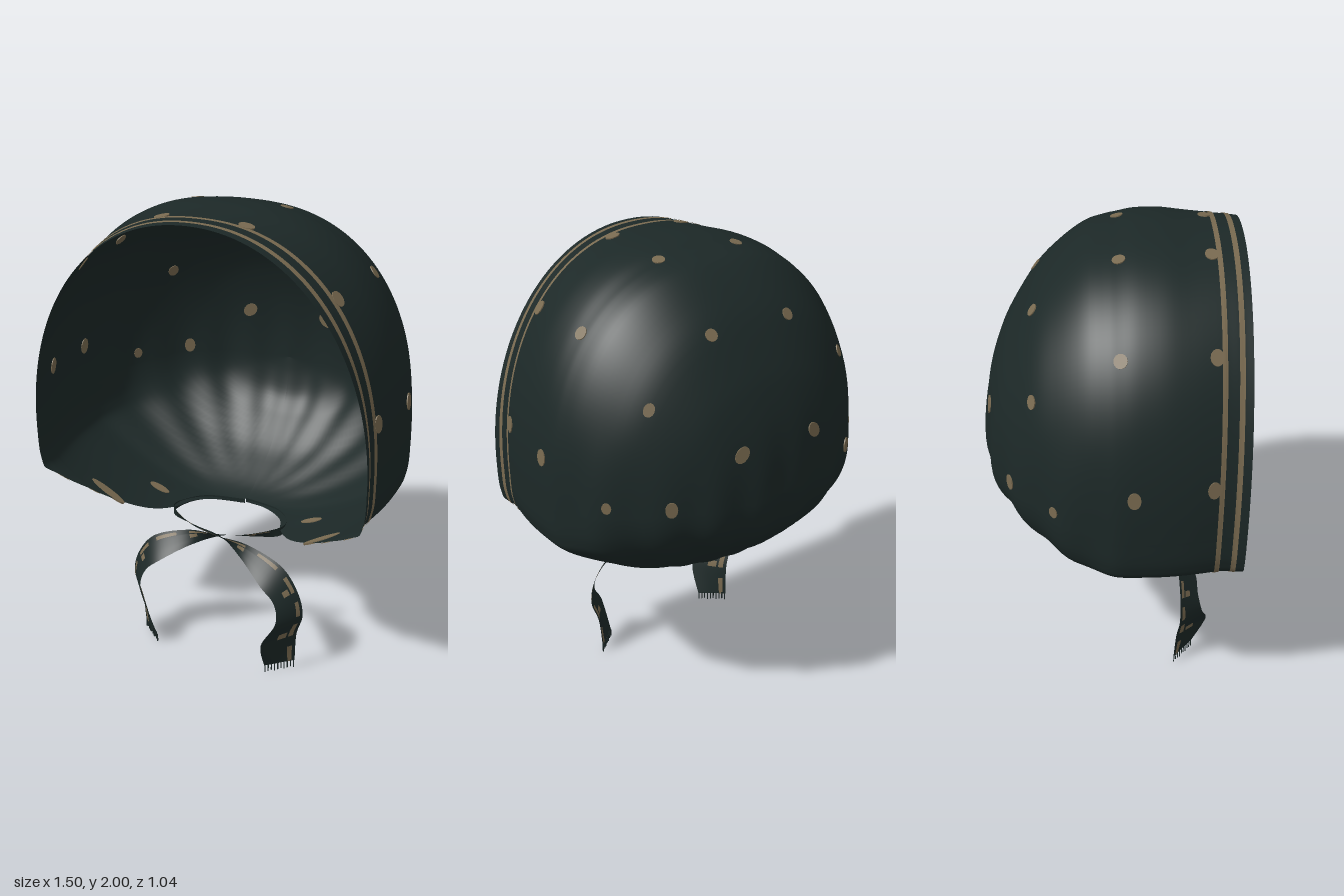
import * as THREE from 'three';

const cloth = new THREE.MeshStandardMaterial({ color: 0x1c2827, side: THREE.DoubleSide });
cloth.name = 'dark teal cloth';
const tan = new THREE.MeshStandardMaterial({ color: 0x796a50, side: THREE.DoubleSide });
tan.name = 'tan print';

// Smooth interpolation through rows of numbers, t in row units
function spline(rows, t) {
  const n = rows.length - 1;
  const i = Math.min(n - 1, Math.max(0, Math.floor(t)));
  const f = t - i;
  const at = (k) => rows[Math.min(n, Math.max(0, k))];
  return rows[0].map((_, c) => {
    const p0 = at(i - 1)[c], p1 = at(i)[c], p2 = at(i + 1)[c], p3 = at(i + 2)[c];
    return 0.5 * (2 * p1 + (p2 - p0) * f + (2 * p0 - 5 * p1 + 4 * p2 - p3) * f * f
      + (3 * p1 - p0 - 3 * p2 + p3) * f * f * f);
  });
}

// Hood sections from the front rim to the back:
// z, top, half width, bottom, widest height, open fraction, roundness of the arch
const SECTIONS = [
  [0.515, 1.99, 0.725, 0.59, 1.05, 0.97, 2.1],
  [0.483, 1.99, 0.719, 0.59, 1.05, 0.92, 2.15],
  [0.462, 1.99, 0.716, 0.59, 1.05, 0.86, 2.2],
  [0.418, 1.99, 0.718, 0.59, 1.05, 0.76, 2.25],
  [0.398, 1.99, 0.722, 0.59, 1.05, 0.7, 2.28],
  [0.3, 1.993, 0.74, 0.59, 1.05, 0.46, 2.35],
  [0.2, 2.0, 0.75, 0.588, 1.05, 0.34, 2.4],
  [0.1, 1.995, 0.752, 0.588, 1.05, 0.28, 2.42],
  [0.03, 1.98, 0.748, 0.588, 1.05, 0.17, 2.42],
  [-0.02, 1.97, 0.738, 0.595, 1.05, 0, 2.42],
  [-0.1, 1.945, 0.712, 0.62, 1.06, 0, 2.4],
  [-0.2, 1.875, 0.66, 0.67, 1.07, 0, 2.36],
  [-0.3, 1.775, 0.582, 0.73, 1.09, 0, 2.34],
  [-0.4, 1.62, 0.46, 0.82, 1.1, 0, 2.3],
  [-0.45, 1.515, 0.375, 0.87, 1.1, 0, 2.25],
  [-0.49, 1.39, 0.265, 0.93, 1.1, 0, 2.2],
  [-0.515, 1.25, 0.14, 1.02, 1.1, 0, 2.1],
  [-0.525, 1.1, 0, 1.1, 1.1, 0, 2],
];
// Lower half of a section: side fraction, drop fraction
const LOWER = [[1, 0], [0.99, 0.3], [0.925, 0.48], [0.63, 0.78], [0.33, 0.96], [0, 1]];
const smooth = (x) => THREE.MathUtils.smoothstep(x, 0, 1);
const lerp = THREE.MathUtils.lerp;

// One section as a function of u in [-1, 1], running over the top from side to side
function section(v) {
  const [z, top, w, bottom, mid, openRaw, power] = spline(SECTIONS, v);
  const open = Math.max(0, openRaw);
  let lo = 0, hi = LOWER.length - 1;
  for (let k = 0; k < 30; k++) {
    const m = (lo + hi) / 2;
    if (spline(LOWER, m)[0] > open) lo = m; else hi = m;
  }
  const round = 0.8 * smooth((-0.02 - z) / 0.3); // the back of the hood is rounder below
  return (u) => {
    const s = Math.abs(u), a = s * Math.PI;
    let x, y;
    if (s < 0.5) {
      x = w * Math.pow(Math.sin(a), 2 / power);
      y = mid + (top - mid) * Math.pow(Math.cos(a), 2 / power);
    } else {
      const [side, drop] = spline(LOWER, (s - 0.5) * 2 * hi);
      x = w * lerp(side, Math.sin(a), round);
      y = mid - (mid - bottom) * lerp(drop, -Math.cos(a), round);
    }
    // soft pleats gathered towards the neck
    const fold = 0.014 * smooth((1.5 - y) / 0.6) * smooth((0.12 - z) / 0.3);
    const k = 1 + fold * Math.cos(17 * Math.atan2(x, z));
    return new THREE.Vector3(Math.sign(u) * x * k, y, z * k);
  };
}

// Grid mesh from rows of points; isTan(row, column) chooses the printed faces
function gridMesh(name, rows, isTan) {
  const cols = rows[0].length;
  const pos = rows.flat().flatMap((p) => [p.x, p.y, p.z]);
  const parts = [[], []];
  for (let r = 0; r < rows.length - 1; r++) {
    for (let c = 0; c < cols - 1; c++) {
      const a = r * cols + c, d = a + cols;
      parts[isTan(r, c) ? 1 : 0].push(a, a + 1, d, a + 1, d + 1, d);
    }
  }
  const geo = new THREE.BufferGeometry();
  geo.setAttribute('position', new THREE.Float32BufferAttribute(pos, 3));
  geo.setIndex(parts.flat());
  geo.addGroup(0, parts[0].length, 0);
  geo.addGroup(parts[0].length, parts[1].length, 1);
  geo.computeVertexNormals();
  const mesh = new THREE.Mesh(geo, [cloth, tan]);
  mesh.name = name;
  return mesh;
}

const STEP = 4, COLS = 160;

function makeHood() {
  const rows = [];
  for (let r = 0; r <= (SECTIONS.length - 1) * STEP; r++) {
    const at = section(r / STEP);
    rows.push(Array.from({ length: COLS + 1 }, (_, c) => at((c / COLS) * 2 - 1)));
  }
  const mesh = gridMesh('hood', rows, () => false);
  const normal = (r, c) => new THREE.Vector3()
    .fromBufferAttribute(mesh.geometry.attributes.normal, r * (COLS + 1) + c);
  return { mesh, rows, normal };
}

// Border stripe printed on the outside, between two neighbouring sections
function makeStripe({ rows, normal }, first) {
  const strip = [];
  for (let r = first * STEP; r <= (first + 1) * STEP; r++) {
    strip.push(rows[r].map((p, c) => p.clone().addScaledVector(normal(r, c), 0.003)));
  }
  return gridMesh('borderStripe', strip, () => true);
}

// Thin printed spot set into the cloth near a target point, visible on both sides
function makeSpot({ rows, normal }, target, long, wide) {
  let best = Infinity, br = 0, bc = 0;
  rows.forEach((row, r) => row.forEach((p, c) => {
    const d = p.distanceToSquared(target);
    if (d < best) { best = d; br = r; bc = c; }
  }));
  const n = normal(br, bc);
  const along = rows[br][Math.min(COLS, bc + 1)].clone().sub(rows[br][Math.max(0, bc - 1)]);
  along.addScaledVector(n, -along.dot(n)).normalize();
  const spot = new THREE.Mesh(new THREE.CylinderGeometry(1, 1, 0.008, 14), tan);
  spot.name = 'spot';
  spot.scale.set(long, 1, wide);
  spot.quaternion.setFromRotationMatrix(
    new THREE.Matrix4().makeBasis(along, n, along.clone().cross(n)));
  spot.position.copy(rows[br][bc]);
  return spot;
}

// x, y, z, half length, half width; mirrored to both sides
const SPOTS = [
  [0.19, 1.97, 0.03, 0.026, 0.026], [0.56, 1.74, 0.025, 0.028, 0.026],
  [0.75, 1.27, 0.07, 0.036, 0.026], [0.19, 1.755, -0.31, 0.025, 0.026],
  [0.5, 1.53, -0.29, 0.028, 0.022], [0.18, 1.31, -0.48, 0.037, 0.028],
  [0.44, 1.135, -0.39, 0.034, 0.025], [0.63, 1.13, -0.22, 0.024, 0.02],
  [0.18, 1.97, 0.385, 0.032, 0.026], [0.52, 1.74, 0.385, 0.032, 0.026],
  [0.72, 1.28, 0.385, 0.036, 0.026],
  [0.49, 0.715, 0.36, 0.09, 0.02], [0.36, 0.67, 0.115, 0.05, 0.02],
];

// Neckband and tie path: centre x, y, z and half-width vector
const TIE = [
  [0, 0.593, 0, 0, 0.01, 0],
  [-0.16, 0.593, 0.03, 0, 0.01, 0],
  [-0.24, 0.595, 0.11, 0, 0.012, 0],
  [-0.25, 0.6, 0.21, 0, 0.02, 0],
  [-0.13, 0.583, 0.265, 0, 0.018, 0.025],
  [0, 0.566, 0.285, 0, 0.02, 0.03],
  [0.13, 0.536, 0.31, 0.01, 0.03, -0.01],
  [0.27, 0.472, 0.35, 0.03, 0.036, -0.04],
  [0.345, 0.39, 0.36, 0.036, 0.018, -0.042],
  [0.367, 0.29, 0.37, 0.042, 0.004, -0.052],
  [0.325, 0.18, 0.378, 0.054, 0, -0.07],
  [0.317, 0.035, 0.345, 0.053, 0, -0.045],
];

function makeTie() {
  const tie = new THREE.Group();
  const widths = [-1, -0.5, -0.1, 0.4, 0.52, 0.8, 1];
  const point = (t, k) => {
    const [x, y, z, a, b, c] = spline(TIE, t);
    return new THREE.Vector3(x + a * k, y + b * k, z + c * k);
  };
  const rows = [];
  for (let r = 0; r <= (TIE.length - 1) * 8; r++) rows.push(widths.map((k) => point(r / 8, k)));
  // a stripe along the tie, with small spots beside it
  const printed = (r, c) => r > 24 && (c === 3 ? false : c === 4 ? r % 8 > 2 : c === 2 && r % 16 > 13);
  tie.add(gridMesh('ribbon', rows, printed));
  // fringe threads at the end
  for (let i = 0; i < 10; i++) {
    const thread = new THREE.Mesh(new THREE.BoxGeometry(0.004, 0.036, 0.004), cloth);
    thread.name = 'fringe';
    thread.position.copy(point(TIE.length - 1, -0.95 + i * 0.21));
    thread.position.y = 0.018 + (i % 3) * 0.003;
    tie.add(thread);
  }
  return tie;
}

export function createModel() {
  const model = new THREE.Group();
  model.name = 'headscarf';
  const hood = makeHood();
  model.add(hood.mesh, makeStripe(hood, 1), makeStripe(hood, 3));

  const spots = new THREE.Group();
  spots.name = 'spots';
  for (const [x, y, z, long, wide] of SPOTS) {
    for (const side of [1, -1]) {
      spots.add(makeSpot(hood, new THREE.Vector3(side * x, y, z), long, wide));
    }
  }
  model.add(spots);

  const leftTie = makeTie();
  leftTie.name = 'leftTie';
  const rightTie = makeTie();
  rightTie.name = 'rightTie';
  rightTie.scale.x = -1;
  rightTie.position.z = -0.012;
  model.add(leftTie, rightTie);
  return model;
}
